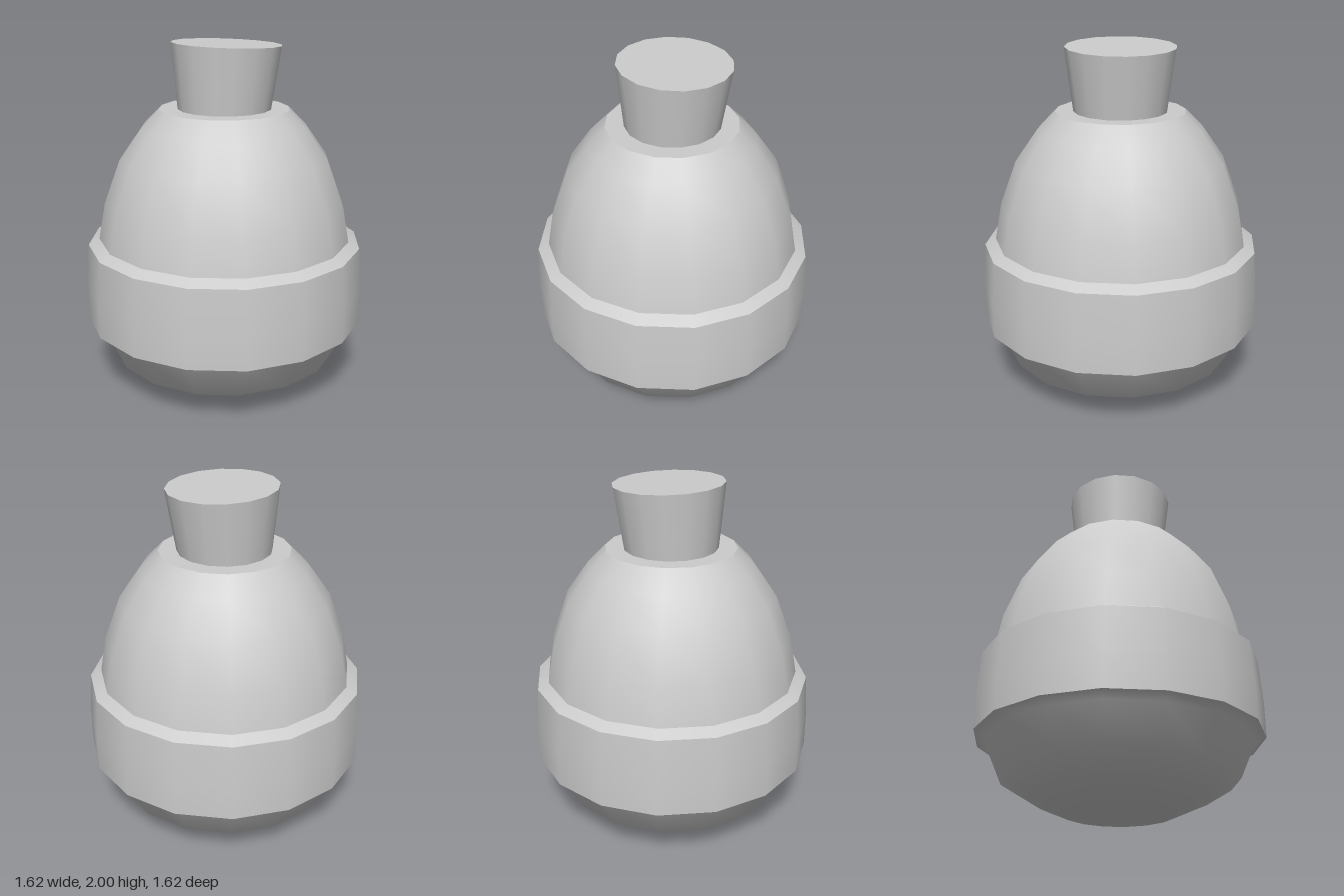
import * as THREE from 'three';

const SIDES = 16;
const material = new THREE.MeshStandardMaterial({ color: 0xcccccc });

// Revolves [radius, height] pairs, listed from bottom to top on the outside
function turned(name, profile) {
  const points = profile.map(([r, y]) => new THREE.Vector2(r, y));
  const mesh = new THREE.Mesh(new THREE.LatheGeometry(points, SIDES), material);
  mesh.name = name;
  return mesh;
}

export function createModel() {
  const model = new THREE.Group();
  model.name = 'flask';

  // Body: each section is smooth, with sharp edges where sections meet
  const body = new THREE.Group();
  body.name = 'body';
  body.add(
    turned('roundedBase', [[0, 0], [0.32, 0.003], [0.505, 0.085], [0.66, 0.18], [0.745, 0.373], [0.81, 0.403]]),
    turned('bandWall', [[0.81, 0.403], [0.81, 0.6], [0.793, 0.852]]),
    turned('bandBevel', [[0.793, 0.852], [0.73, 0.887]]),
    turned('dome', [[0.73, 0.887], [0.69, 1.1], [0.597, 1.35], [0.47, 1.53], [0.37, 1.63]]),
    turned('shoulder', [[0.37, 1.63], [0, 1.63]])
  );
  model.add(body);

  // Flared stopper, leaning slightly to +x and sunk into the shoulder
  const stopper = new THREE.Mesh(new THREE.CylinderGeometry(0.311, 0.262, 0.39, SIDES), material);
  stopper.name = 'stopper';
  stopper.position.set(0.0075, 1.793, 0);
  stopper.rotation.z = -0.04;
  model.add(stopper);

  return model;
}
